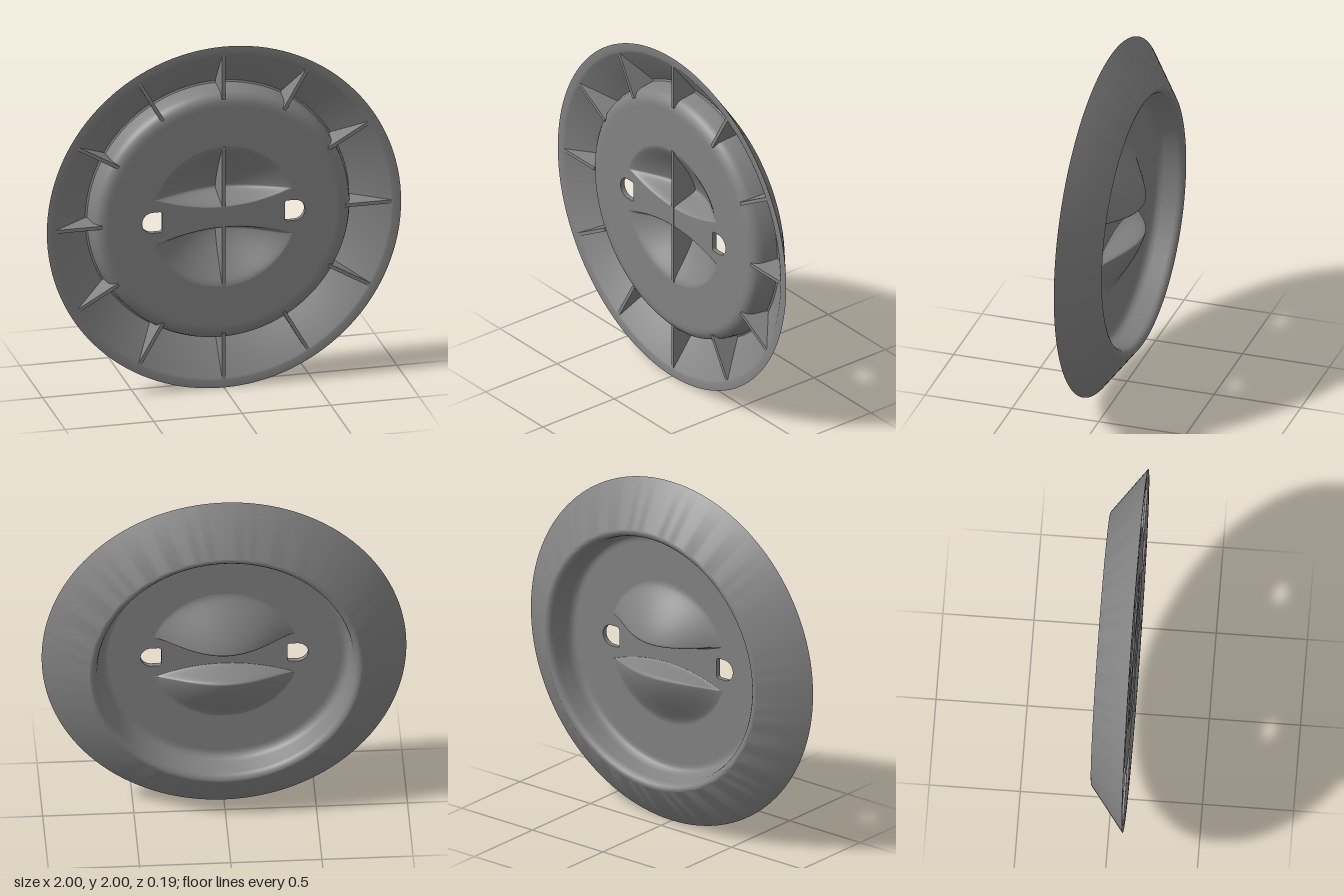
import * as THREE from 'three';
import { mergeGeometries, toCreasedNormals } from 'three/addons/utils/BufferGeometryUtils.js';

const FRONT = 0.088, BACK = 0.06;      // faces of the centre plate
const LOBE_X = 0.385, LOBE_R = 0.41;   // half width and outer radius of a grip pocket
const DEPTH = 0.15;
const COLS = 48, ROWS = 40;            // pocket grid

// Pocket outline: inner edge beside the grip bar, outer edge on a circle
const columnX = i => LOBE_X * (2 * i / COLS - 1);
const innerEdge = x => 0.055 + 0.075 * (x / LOBE_X) ** 2;
const outerEdge = x => Math.sqrt(LOBE_R ** 2 - x * x);

// Pocket depth: bell-shaped along the bar, steep wall, long slope with a soft outer edge
function pocketDepth(x, t, peak) {
  const d = DEPTH * Math.max(0, 1 - (x / LOBE_X) ** 2) ** 1.4;
  if (t < peak) return d * THREE.MathUtils.smoothstep(t, 0, peak);
  const s = (1 - t) / (1 - peak);
  const g = (Math.hypot(s, 0.08) - 0.08) / (Math.hypot(1, 0.08) - 0.08);
  return d * g * (1.3 - 0.3 * g * g);
}

function pocketSurface(z0, peak, facesBack) {
  const pos = [], index = [];
  for (let i = 0; i <= COLS; i++) {
    const x = columnX(i);
    for (let j = 0; j <= ROWS; j++) {
      const t = (j / ROWS) ** 1.5;     // finer rows at the steep wall
      pos.push(x, THREE.MathUtils.lerp(innerEdge(x), outerEdge(x), t), z0 - pocketDepth(x, t, peak));
    }
  }
  for (let i = 0; i < COLS; i++) {
    for (let j = 0; j < ROWS; j++) {
      const a = i * (ROWS + 1) + j, b = a + ROWS + 1;
      if (facesBack) index.push(a, a + 1, b, b, a + 1, b + 1);
      else index.push(a, b, a + 1, b, b + 1, a + 1);
    }
  }
  const geo = new THREE.BufferGeometry();
  geo.setAttribute('position', new THREE.Float32BufferAttribute(pos, 3));
  geo.setIndex(index);
  geo.computeVertexNormals();
  return geo;
}

function pocketOutline(side) {
  const pts = [];
  for (let i = 0; i <= COLS; i++) {
    const x = columnX(i);
    pts.push(new THREE.Vector2(side * x, side * innerEdge(x)));
  }
  for (let i = COLS; i >= 0; i--) {
    const x = columnX(i);
    pts.push(new THREE.Vector2(side * x, side * outerEdge(x)));
  }
  return new THREE.Path(pts);
}

// Slot with a round outer end and a softly cornered inner end
function slotOutline(side) {
  const h = 0.06, c = 0.018, inner = 0.345, mid = 0.4;
  const p = new THREE.Path();
  p.moveTo(side * (inner + c), -h);
  p.lineTo(side * mid, -h);
  p.absarc(side * mid, 0, h, -Math.PI / 2, Math.PI / 2, side < 0);
  p.lineTo(side * (inner + c), h);
  p.quadraticCurveTo(side * inner, h, side * inner, h - c);
  p.lineTo(side * inner, -h + c);
  p.quadraticCurveTo(side * inner, -h, side * (inner + c), -h);
  return p;
}

// Wall through the plate around a slot
function slotWall(side) {
  const pos = [], pts = slotOutline(side).getPoints(16);
  for (let i = 0; i < pts.length - 1; i++) {
    const a = pts[i], b = pts[i + 1];
    pos.push(a.x, a.y, BACK, b.x, b.y, BACK, a.x, a.y, FRONT);
    pos.push(b.x, b.y, BACK, b.x, b.y, FRONT, a.x, a.y, FRONT);
  }
  const geo = new THREE.BufferGeometry();
  geo.setAttribute('position', new THREE.Float32BufferAttribute(pos, 3));
  return toCreasedNormals(geo, 0.7);
}

// One face of the centre plate with its two pockets
function plateFace(z0, peak, facesBack) {
  const shape = new THREE.Shape();
  shape.absarc(0, 0, 0.641, 0, Math.PI * 2);
  for (const side of [1, -1]) shape.holes.push(pocketOutline(side), slotOutline(side));
  const flat = new THREE.ShapeGeometry(shape, 48);
  flat.deleteAttribute('uv');
  if (facesBack) flat.rotateY(Math.PI);
  flat.translate(0, 0, z0);
  const upper = pocketSurface(z0, peak, facesBack);
  return mergeGeometries([flat, upper, upper.clone().rotateZ(Math.PI)]);
}

// Thin rib from a (radius, z) outline, standing along +x
function ribGeometry(points, width) {
  const shape = new THREE.Shape(points.map(p => new THREE.Vector2(...p)));
  const geo = new THREE.ExtrudeGeometry(shape, { depth: width, bevelEnabled: false });
  return geo.translate(0, 0, -width / 2).rotateX(Math.PI / 2);
}

export function createModel() {
  const group = new THREE.Group();
  const body = new THREE.Group();
  body.name = 'cover';
  body.position.y = 1;
  group.add(body);
  const material = new THREE.MeshStandardMaterial({ color: 0x838383 });
  const thin = new THREE.MeshStandardMaterial({ color: 0x838383, side: THREE.DoubleSide });
  const add = (name, geo, mat = material) => {
    const mesh = new THREE.Mesh(geo, mat);
    mesh.name = name;
    body.add(mesh);
    return mesh;
  };

  // Flared rim, groove and recess wall
  const profile = [
    [0.64, 0.06], [0.655, 0.059], [0.672, 0.052], [0.685, 0.036], [0.693, 0.015],
    [0.706, -0.06], [0.712, -0.078], [0.723, -0.09], [0.737, -0.095], [0.747, -0.095],
    [0.753, -0.0925], [1, 0.095], [0.957, 0.095], [0.945, 0.09],
    [0.745, -0.06], [0.735, -0.055], [0.725, 0.03], [0.713, 0.062], [0.692, 0.081],
    [0.665, 0.088], [0.64, 0.088],
  ].map(p => new THREE.Vector2(...p));
  add('flaredRim', toCreasedNormals(new THREE.LatheGeometry(profile, 128).rotateX(Math.PI / 2), 0.75));

  // Centre plate with grip pockets above and below the bar
  add('plateFront', plateFace(FRONT, 0.19, false));
  add('plateBack', plateFace(BACK, 0.12, true));
  for (const side of [1, -1]) add('slotWall', slotWall(side), thin);

  // Upright rib across both pockets and the bar
  const gripRib = [[0, 0.092], [0, 0.08]];
  for (let i = 0; i <= 20; i++) {
    const t = i / 20;
    gripRib.push([0.055 + (LOBE_R - 0.055) * t, FRONT - 0.008 - pocketDepth(0, t, 0.19)]);
  }
  gripRib.push([LOBE_R, 0.092]);
  const gripRibGeo = ribGeometry(gripRib, 0.02);
  for (const side of [1, -1]) add('gripRib', gripRibGeo).rotation.z = side * Math.PI / 2;

  // Twelve stiffening ribs in the groove
  const rimRibGeo = ribGeometry(
    [[0.685, 0.075], [0.725, -0.065], [0.75, -0.065], [0.955, 0.092], [0.685, 0.092]], 0.02);
  for (let i = 0; i < 12; i++) add('rimRib', rimRibGeo).rotation.z = i * Math.PI / 6;

  return group;
}
